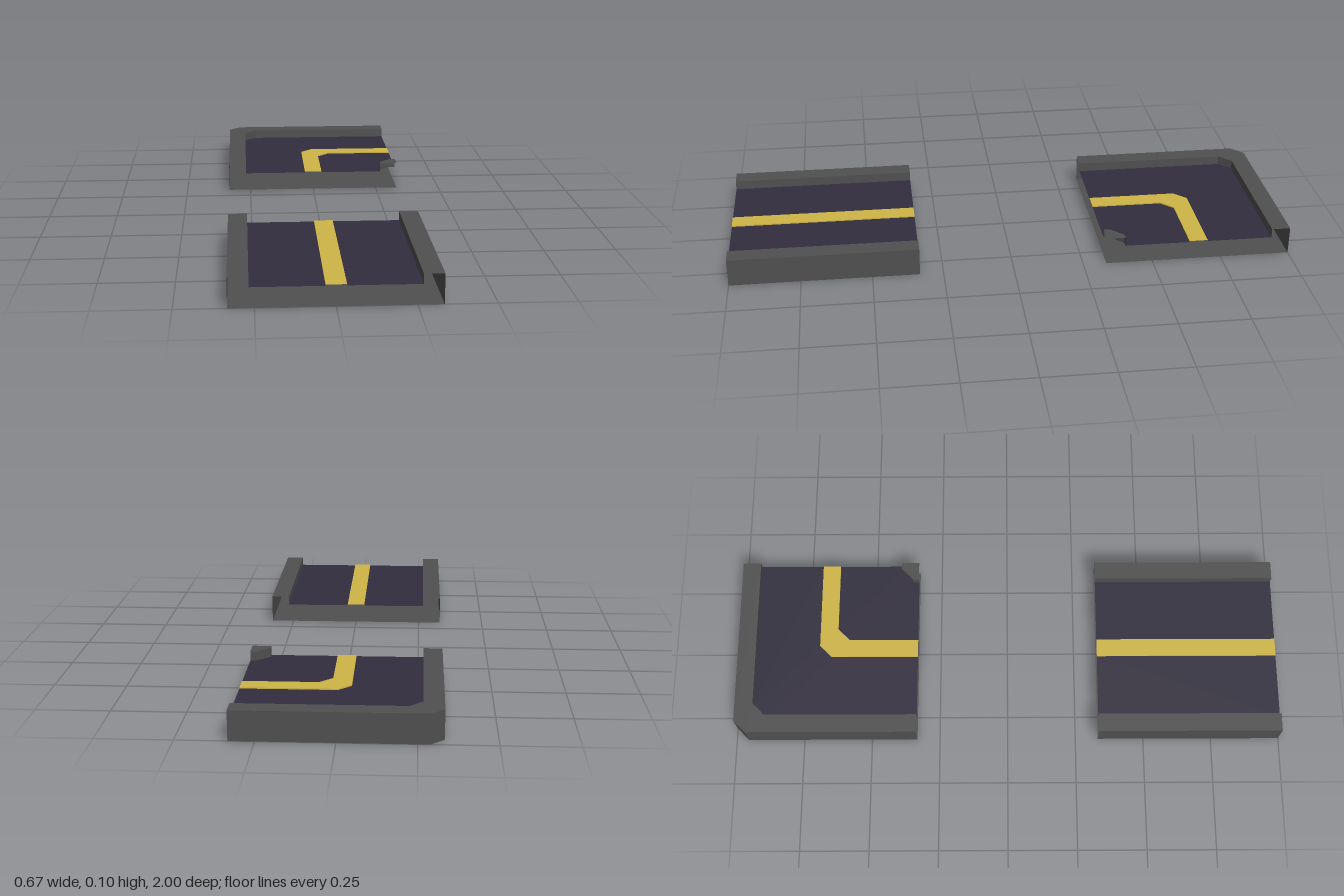
import * as THREE from 'three';

const HALF = 1 / 3;     // half the width of a tile
const KERB = 0.267;     // inner edge of the kerbs
const LINE = 0.033;     // half the width of the centre line
const TOP = 0.1, ROAD = 0.067, PAINT = 0.071;
const CHAMFER = 0.044;

const material = (color) => new THREE.MeshStandardMaterial({
  color, flatShading: true, side: THREE.DoubleSide,
});

// Cross-section of the track as [offset, height], one chain per part
const SECTIONS = [
  { name: 'leftHandKerb', mat: 'kerb', chain: [[-HALF, 0], [-HALF, TOP], [-KERB, TOP], [-KERB, ROAD]] },
  { name: 'outerLane', mat: 'road', chain: [[-KERB, ROAD], [-LINE, ROAD]] },
  { name: 'centreLine', mat: 'line', chain: [[-LINE, ROAD], [-LINE, PAINT], [LINE, PAINT], [LINE, ROAD]] },
  { name: 'innerLane', mat: 'road', chain: [[LINE, ROAD], [KERB, ROAD]] },
  { name: 'rightHandKerb', mat: 'kerb', chain: [[KERB, ROAD], [KERB, TOP], [HALF, TOP], [HALF, 0]] },
  { name: 'underside', mat: 'kerb', chain: [[HALF, 0], [-HALF, 0]] },
];

// Path at sideways offset u, as [x, z] points: straight run
const straightPath = (u) => [[u, 1], [u, HALF]];

// Right-angle turn with a chamfered corner; the far edge shrinks to a point
function cornerPath(u) {
  const z = -2 / 3 + u;
  const c = Math.min(CHAMFER, HALF - u);
  return [[u, -HALF], [u, z + c], [u + c, z], [HALF, z]];
}

// Sweep a chain along a path, leaving the ends open
function sweep(chain, path) {
  const rows = chain.map(([u, y]) => path(u).map(([x, z]) => new THREE.Vector3(x, y, z)));
  const positions = [];
  const triangle = (a, b, c) => {
    if (new THREE.Triangle(a, b, c).getArea() < 1e-8) return;
    for (const p of [a, b, c]) positions.push(p.x, p.y, p.z);
  };
  for (let i = 0; i < rows.length - 1; i++) {
    const a = rows[i], b = rows[i + 1];
    for (let j = 0; j < a.length - 1; j++) {
      triangle(a[j], b[j], b[j + 1]);
      triangle(a[j], b[j + 1], a[j + 1]);
    }
  }
  const geometry = new THREE.BufferGeometry();
  geometry.setAttribute('position', new THREE.Float32BufferAttribute(positions, 3));
  geometry.computeVertexNormals();
  return geometry;
}

function createTile(name, path, materials) {
  const tile = new THREE.Group();
  tile.name = name;
  for (const { name: part, mat, chain } of SECTIONS) {
    const mesh = new THREE.Mesh(sweep(chain, path), materials[mat]);
    mesh.name = part;
    tile.add(mesh);
  }
  return tile;
}

export function createModel() {
  const materials = {
    kerb: material(0x505050),
    road: material(0x322e3e),
    line: material(0xcfb548),
  };
  const model = new THREE.Group();
  model.name = 'trackTiles';
  model.add(
    createTile('straightTile', straightPath, materials),
    createTile('cornerTile', cornerPath, materials),
  );
  return model;
}
